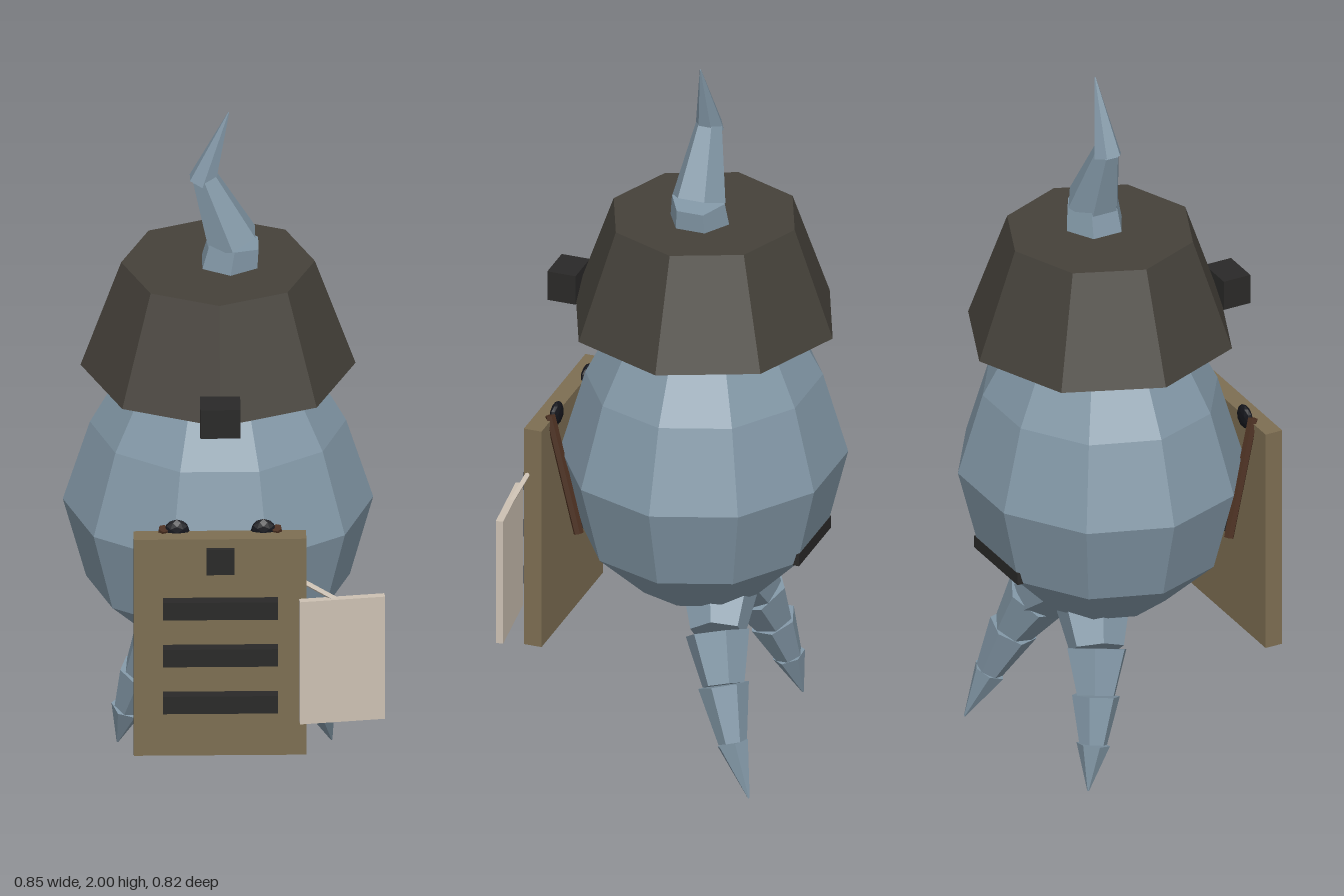
import * as THREE from 'three';

const CX = -0.013, CZ = -0.045;
const mat = (color, side = THREE.FrontSide) =>
  new THREE.MeshStandardMaterial({ color, flatShading: true, side });

export function createModel() {
  const group = new THREE.Group();
  const skin = mat(0x8297a6), felt = mat(0x45413a), dark = mat(0x2a2928);
  const wood = mat(0x7d6e52), leather = mat(0x4a2f20), paper = mat(0xcdc1b3);
  const black = mat(0x14151b);

  function add(name, geometry, material, x = 0, y = 0, z = 0, parent = group) {
    const mesh = new THREE.Mesh(geometry, material);
    mesh.name = name;
    mesh.position.set(x, y, z);
    parent.add(mesh);
    return mesh;
  }
  const box = (name, w, h, d, material, x, y, z) =>
    add(name, new THREE.BoxGeometry(w, h, d), material, x, y, z);

  // Tapered segment from point a (radius ra) to point b (radius rb)
  function segment(name, a, b, ra, rb, sides, material, parent = group) {
    const from = new THREE.Vector3(...a), dir = new THREE.Vector3(...b).sub(from);
    const mesh = add(name, new THREE.CylinderGeometry(rb, ra, dir.length(), sides), material, 0, 0, 0, parent);
    mesh.position.copy(from).addScaledVector(dir, 0.5);
    mesh.quaternion.setFromUnitVectors(new THREE.Vector3(0, 1, 0), dir.normalize());
    return mesh;
  }

  // Chain of segments, each starting a little wider than the last one ended
  function limb(name, points, radii) {
    const part = new THREE.Group();
    part.name = name;
    for (let i = 0; i < points.length - 1; i++) {
      segment(name + 'Segment', points[i], points[i + 1], radii[i], radii[i + 1] * 0.85, 6, skin, part);
    }
    group.add(part);
  }

  // Egg-shaped body
  const profile = [[0, 0.44], [0.2, 0.48], [0.35, 0.62], [0.412, 0.85], [0.34, 1.08], [0.245, 1.25], [0, 1.4]]
    .map(([r, y]) => new THREE.Vector2(r, y));
  const body = add('body', new THREE.LatheGeometry(profile, 10, Math.PI / 2), skin, CX, 0, CZ);
  body.scale.z = 0.92;

  // Strap passing under the body, showing at front and back
  box('lowerStrap', 0.24, 0.035, 0.64, dark, CX, 0.635, -0.04);

  // Hat with its buckle
  add('hat', new THREE.CylinderGeometry(0.257, 0.365, 0.305, 8), felt, CX, 1.4025, CZ);
  box('hatBuckle', 0.107, 0.085, 0.08, dark, CX, 1.288, 0.34);

  // Crooked stem above the hat
  segment('stemBase', [0.01, 1.5, CZ], [0.03, 1.62, CZ], 0.09, 0.075, 6, skin);
  segment('stemMiddle', [0.025, 1.62, CZ], [-0.05, 1.81, CZ], 0.075, 0.036, 6, skin);
  segment('stemTip', [-0.055, 1.795, CZ], [0.015, 2, CZ], 0.04, 0.002, 6, skin);

  // Legs, tapering to points
  limb('leftLeg',
    [[0.04, 0.5, -0.11], [0.15, 0.4, -0.145], [0.21, 0.28, -0.185], [0.26, 0.14, -0.23], [0.292, 0, -0.288]],
    [0.11, 0.088, 0.068, 0.045, 0.003]);
  limb('rightLeg',
    [[-0.07, 0.5, -0.1], [-0.16, 0.38, -0.135], [-0.21, 0.27, -0.165], [-0.25, 0.15, -0.195], [-0.277, 0.03, -0.225]],
    [0.11, 0.088, 0.066, 0.045, 0.003]);

  // Hanging board with raised bars
  box('board', 0.458, 0.645, 0.05, wood, -0.014, 0.6225, 0.355);
  for (const y of [0.745, 0.605, 0.465]) box('boardBar', 0.305, 0.052, 0.03, dark, CX, y, 0.395);
  box('boardPlate', 0.074, 0.075, 0.014, dark, CX, 0.882, 0.386);

  // Cords and knots holding the board
  for (const side of [-1, 1]) {
    const knot = add('knot', new THREE.IcosahedronGeometry(0.034, 1), black, CX + side * 0.115, 0.945, 0.33);
    knot.scale.z = 0.45;
    segment('cord', [CX + side * 0.15, 0.955, 0.335], [CX + side * 0.2, 0.645, 0.235], 0.014, 0.014, 6, leather);
  }

  // Paper tag tied to the side of the board
  const tag = box('tag', 0.228, 0.365, 0.02, paper, 0.31, 0.588, 0.385);
  tag.rotation.y = 0.13;
  segment('tagString', [0.21, 0.81, 0.37], [0.295, 0.765, 0.385], 0.007, 0.007, 6, paper);

  return group;
}
